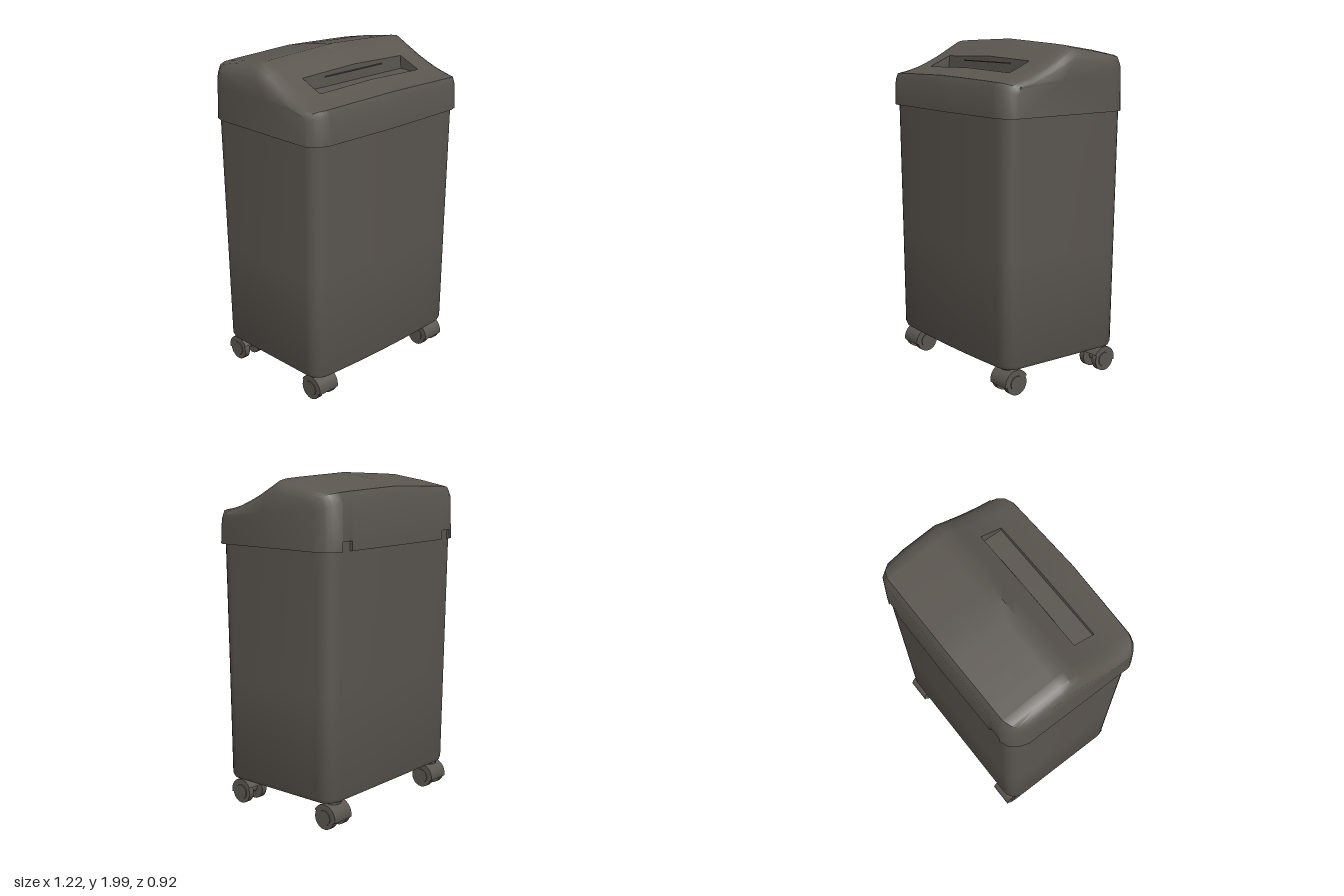
import * as THREE from 'three';
import { toCreasedNormals } from 'three/addons/utils/BufferGeometryUtils.js';

const charcoal = new THREE.MeshStandardMaterial({ color: 0x5b5650 });
charcoal.name = 'charcoal plastic';

function mesh(name, geometry) {
  const m = new THREE.Mesh(geometry, charcoal);
  m.name = name;
  return m;
}

// Joins cross-sections (arrays of [x, y, z]) into a skin with end caps
function loft(sections, { closed = true, skip = () => false } = {}) {
  const n = sections[0].length, pos = sections.flat(2), index = [];
  sections.slice(1).forEach((_, i) => {
    for (let j = 0; j < (closed ? n : n - 1); j++) {
      if (skip(i, j)) continue;
      const k = (j + 1) % n, a = i * n, b = a + n;
      index.push(a + j, a + k, b + k, a + j, b + k, b + j);
    }
  });
  [0, sections.length - 1].forEach((s) => {
    const c = pos.length / 3;
    for (let q = 0; q < 3; q++) pos.push(sections[s].reduce((t, p) => t + p[q], 0) / n);
    for (let j = 0; j < n; j++) {
      const k = (j + 1) % n;
      if (s) index.push(c, s * n + j, s * n + k);
      else index.push(c, k, j);
    }
  });
  const g = new THREE.BufferGeometry();
  g.setAttribute('position', new THREE.Float32BufferAttribute(pos, 3));
  g.setIndex(index);
  return toCreasedNormals(g, 0.7);
}

// Linear lookup in a short list of [key, value]
function lookup(table, v) {
  const i = Math.max(1, table.findIndex((p) => p[0] >= v));
  const [a, b] = [table[i - 1], table[i]];
  return a[1] + (b[1] - a[1]) * (v - a[0]) / (b[0] - a[0]);
}

// Bin: rounded rectangles with a slightly bowed front
function binRing([y, hx, front, back, r]) {
  const pts = [];
  const corner = (cx, cz, start) => {
    for (let i = 0; i <= 6; i++) {
      const a = start - i * Math.PI / 12;
      pts.push([cx + r * Math.cos(a), y, cz + r * Math.sin(a)]);
    }
  };
  for (let i = -3; i <= 3; i++) {
    const t = i / 4;
    pts.push([t * (hx - r), y, front + 0.015 * (1 - t * t)]);
  }
  corner(hx - r, front - r, Math.PI / 2);
  corner(hx - r, back + r, 0);
  corner(-hx + r, back + r, -Math.PI / 2);
  corner(-hx + r, front - r, -Math.PI);
  return pts;
}

function makeBin() {
  return mesh('bin', loft([
    [0.165, 0.54, 0.38, -0.385, 0.07],
    [0.172, 0.565, 0.4, -0.41, 0.085],
    [0.195, 0.576, 0.408, -0.417, 0.09],
    [0.8, 0.58, 0.412, -0.425, 0.09],
    [1.66, 0.586, 0.42, -0.437, 0.09],
  ].map(binRing)));
}

// Lid outline, shoulder drop and side profile
const frontEdge = [[0, 0.455], [0.5, 0.442], [0.55, 0.425], [0.585, 0.395], [0.605, 0.36]];
const backEdge = [[0, -0.455], [0.5, -0.45], [0.55, -0.43], [0.585, -0.39], [0.605, -0.33]];
const shoulder = [[0, 0], [0.4, 0.018], [0.5, 0.024], [0.55, 0.034], [0.585, 0.06], [0.605, 0.1]];
const slope = [[-0.25, 1.966], [-0.1, 1.99], [-0.04, 2], [0.04, 1.952], [0.125, 1.902],
  [0.195, 1.868], [0.265, 1.838], [0.34, 1.815]];
const RIM = 1.595, SLOT = 0.4, SLOT_BACK = 0.125, SLOT_FRONT = 0.265;

const dropped = (x, y) => y - lookup(shoulder, Math.abs(x)) * (y - 1.6) / 0.4;

function lidSection(x) {
  const ax = Math.abs(x), f = lookup(frontEdge, ax), b = lookup(backEdge, ax);
  const notch = ax > 0.4205 && ax < 0.4995 ? 0.055 : 0;
  const top = [[b, 1.87], [b + 0.025, 1.93], ...slope, [f - 0.015, 1.8], [f, 1.76]];
  return [
    [x * 1.01, RIM + notch, b - 0.004],
    ...top.map(([z, y]) => [x, dropped(x, y), z]),
    [x * 1.01, RIM, f + 0.004],
  ];
}

function makeLid() {
  const lid = new THREE.Group();
  lid.name = 'lid';
  const half = [0.1, 0.2, 0.3, 0.4, 0.42, 0.421, 0.499, 0.5, 0.55, 0.57, 0.585, 0.597, 0.605];
  const xs = [...half.map((x) => -x).reverse(), 0, ...half];
  const inSlot = (i, j) => Math.abs(xs[i] + xs[i + 1]) / 2 < SLOT && (j === 7 || j === 8);
  lid.add(mesh('lidShell', loft(xs.map(lidSection), { skip: inSlot })));

  // Recessed paper feed
  const feed = xs.filter((x) => Math.abs(x) <= SLOT).map((x) => [
    [x, dropped(x, 1.902), SLOT_BACK],
    [x, 1.812, SLOT_BACK + 0.005],
    [x, 1.808, SLOT_FRONT - 0.003],
    [x, dropped(x, 1.838), SLOT_FRONT],
  ]);
  lid.add(mesh('feedRecess', loft(feed, { closed: false })));
  const lip = mesh('feedLip', new THREE.BoxGeometry(0.46, 0.006, 0.008));
  lip.position.set(0, 1.868, SLOT_BACK + 0.005);
  lid.add(lip);
  return lid;
}

// Twin-wheel caster with a curved hood
function makeCaster(x, z, turn) {
  const caster = new THREE.Group();
  caster.name = 'caster';
  const across = (r, w, start = 0, arc = Math.PI * 2, sides = 20) =>
    new THREE.CylinderGeometry(r, r, w, sides, 1, false, start, arc).rotateZ(Math.PI / 2);
  for (const side of [-1, 1]) {
    const wheel = mesh('wheel', across(0.07, 0.036));
    wheel.position.set(side * 0.055, 0.077, 0);
    const hub = mesh('hub', across(0.045, 0.006, 0, Math.PI * 2, 12));
    hub.position.set(side * 0.075, 0.077, 0);
    caster.add(wheel, hub);
  }
  const axle = mesh('axle', across(0.025, 0.1, 0, Math.PI * 2, 10));
  axle.position.y = 0.077;

  // Hood: half ring over the upper front of the wheels
  const arc = new THREE.Shape();
  arc.absarc(0, 0, 0.08, -0.2, Math.PI * 0.85, false);
  arc.absarc(0, 0, 0.058, Math.PI * 0.85, -0.2, true);
  const hoodShape = new THREE.ExtrudeGeometry(arc, { depth: 0.146, bevelEnabled: false, curveSegments: 12 });
  const hood = mesh('hood', toCreasedNormals(hoodShape.translate(0, 0, -0.073).rotateY(-Math.PI / 2), 0.6));
  hood.position.y = 0.077;

  const stem = mesh('stem', new THREE.CylinderGeometry(0.03, 0.03, 0.05, 12));
  stem.position.y = 0.155;
  const collar = mesh('collar', new THREE.CylinderGeometry(0.05, 0.05, 0.012, 16));
  collar.position.y = 0.158;
  caster.add(axle, hood, stem, collar);
  caster.position.set(x, 0.002, z);
  caster.rotation.y = turn;
  return caster;
}

export function createModel() {
  const model = new THREE.Group();
  model.name = 'paperShredder';
  model.add(makeBin(), makeLid());
  for (const x of [-0.472, 0.472]) {
    model.add(makeCaster(x, 0.318, 0), makeCaster(x, -0.352, Math.PI));
  }
  return model;
}
